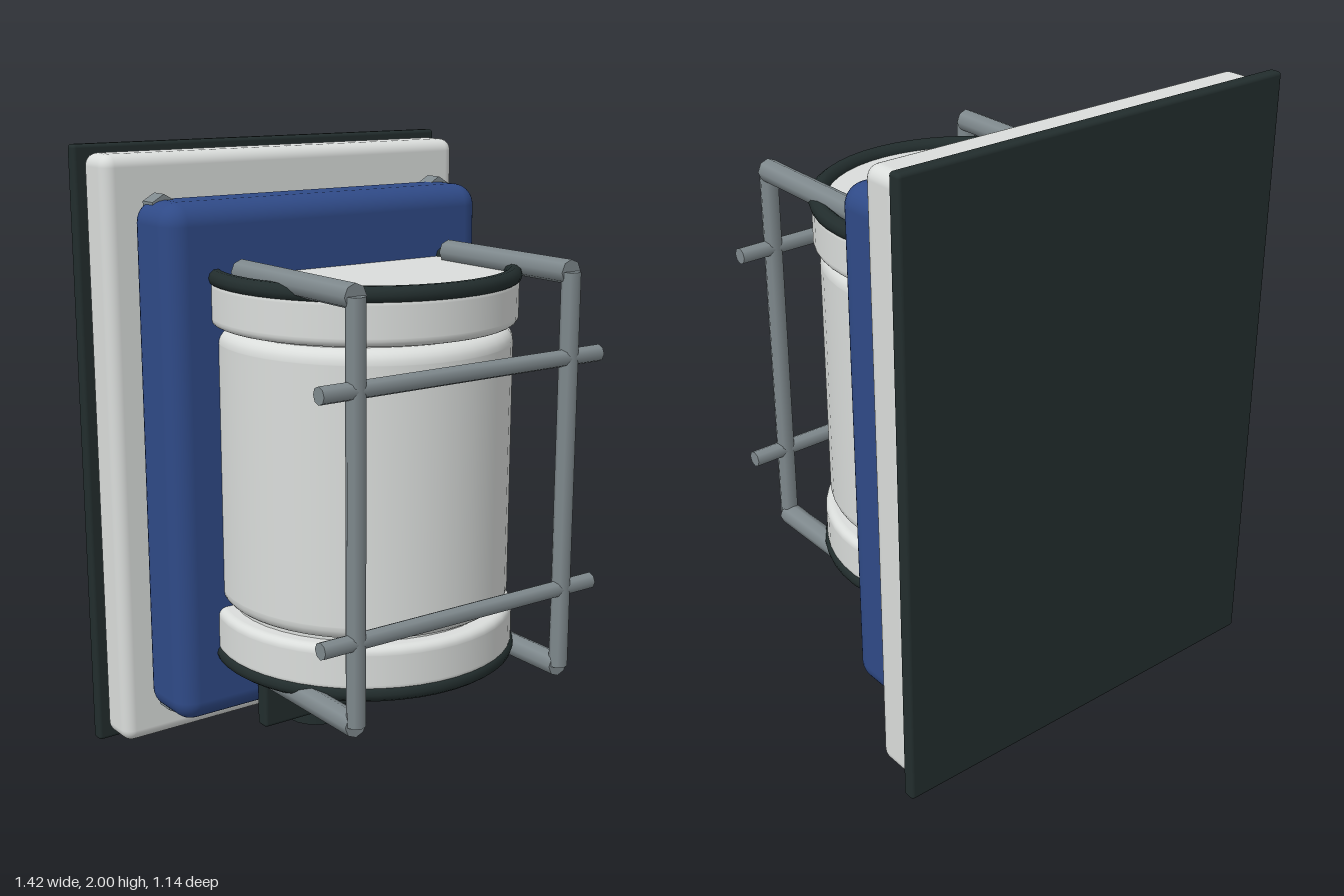
import * as THREE from 'three';
import { RoundedBoxGeometry } from 'three/addons/geometries/RoundedBoxGeometry.js';

const material = (name, color) => {
  const m = new THREE.MeshStandardMaterial({ color });
  m.name = name;
  return m;
};

export function createModel() {
  const white = material('white', 0xdadddb);
  const blue = material('blue', 0x2f4a87);
  const dark = material('dark green black', 0x222d2d);
  const steel = material('steel grey', 0x7f898d);

  const model = new THREE.Group();
  model.name = 'cagedWallLamp';

  const add = (name, geometry, mat, x = 0, y = 0, z = 0) => {
    const mesh = new THREE.Mesh(geometry, mat);
    mesh.name = name;
    mesh.position.set(x, y, z);
    model.add(mesh);
    return mesh;
  };

  // Rounded box given by half width and its y and z limits
  const slab = (name, mat, halfX, y0, y1, z0, z1, radius) =>
    add(name, new RoundedBoxGeometry(halfX * 2, y1 - y0, z1 - z0, 4, radius), mat,
      0, (y0 + y1) / 2, (z0 + z1) / 2);

  // Upright drum with rounded rims
  const drum = (name, radius, y0, y1, bevel, zScale = 1) => {
    const e = 0.002;
    const pts = [new THREE.Vector2(0, y0), new THREE.Vector2(radius - bevel - e, y0)];
    for (let i = 0; i <= 6; i++) {
      const a = (i / 6) * Math.PI / 2;
      pts.push(new THREE.Vector2(radius - bevel + bevel * Math.sin(a), y0 + bevel - bevel * Math.cos(a)));
    }
    pts.push(new THREE.Vector2(radius, y0 + bevel + e), new THREE.Vector2(radius, y1 - bevel - e));
    for (let i = 0; i <= 6; i++) {
      const a = (i / 6) * Math.PI / 2;
      pts.push(new THREE.Vector2(radius - bevel + bevel * Math.cos(a), y1 - bevel + bevel * Math.sin(a)));
    }
    pts.push(new THREE.Vector2(radius - bevel - e, y1), new THREE.Vector2(0, y1));
    add(name, new THREE.LatheGeometry(pts, 48), white, 0, 0, 0.025).scale.z = zScale;
  };

  // Bar along one axis
  const bar = (name, axis, radius, length, x, y, z) => {
    const g = new THREE.CylinderGeometry(radius, radius, length, 8);
    if (axis === 'x') g.rotateZ(Math.PI / 2);
    if (axis === 'z') g.rotateX(Math.PI / 2);
    add(name, g, steel, x, y, z);
  };

  // Stacked wall mount
  slab('wallGasket', dark, 0.71, 0, 2, -0.57, -0.526, 0.012);
  slab('backPlate', white, 0.685, 0.035, 1.975, -0.526, -0.376, 0.04);
  slab('housing', blue, 0.605, 0.165, 1.84, -0.376, -0.13, 0.07);

  // Lamp drum, end caps and core between them
  drum('lampBody', 0.465, 0.555, 1.452, 0.045, 1.03);
  drum('topCap', 0.487, 1.46, 1.61, 0.025);
  drum('bottomCap', 0.487, 0.395, 0.545, 0.025);
  add('lampCore', new THREE.CylinderGeometry(0.43, 0.43, 1, 40), white, 0, 1.0025, 0.025);

  for (const side of [1, -1]) {
    const mirrorY = (offset) => 1.0025 + side * offset;

    // Seal rings on the drum ends
    const ring = new THREE.TorusGeometry(0.469, 0.027, 10, 48).rotateX(Math.PI / 2);
    add('sealRing', ring, dark, 0, mirrorY(0.609), 0.025);

    // Guard cage
    bar('cageCrossbar', 'x', 0.027, 1.05, 0, mirrorY(0.3725), 0.54);
    bar('cageUpright', 'y', 0.03, 1.27, side * 0.4, 1.0025, 0.54);
    for (const x of [0.4, -0.4]) {
      bar('cageArm', 'z', 0.038, 0.59, x, mirrorY(0.634), 0.245);

      // Corner bolts
      const bolt = new THREE.CylinderGeometry(0.047, 0.047, 0.062, 6).rotateX(Math.PI / 2).toNonIndexed();
      bolt.computeVertexNormals();
      add('cornerBolt', bolt, steel, Math.sign(x) * 0.535, mirrorY(0.809), -0.304);
    }
  }

  // Name plate and cable gland below the drum
  slab('namePlate', dark, 0.325, 0.11, 0.33, -0.127, -0.076, 0.012);
  slab('namePlateTab', white, 0.083, 0.195, 0.247, -0.08, -0.06, 0.004);
  add('cableGland', new THREE.CylinderGeometry(0.104, 0.104, 0.12, 20), dark, 0, 0.077, -0.257);

  return model;
}
